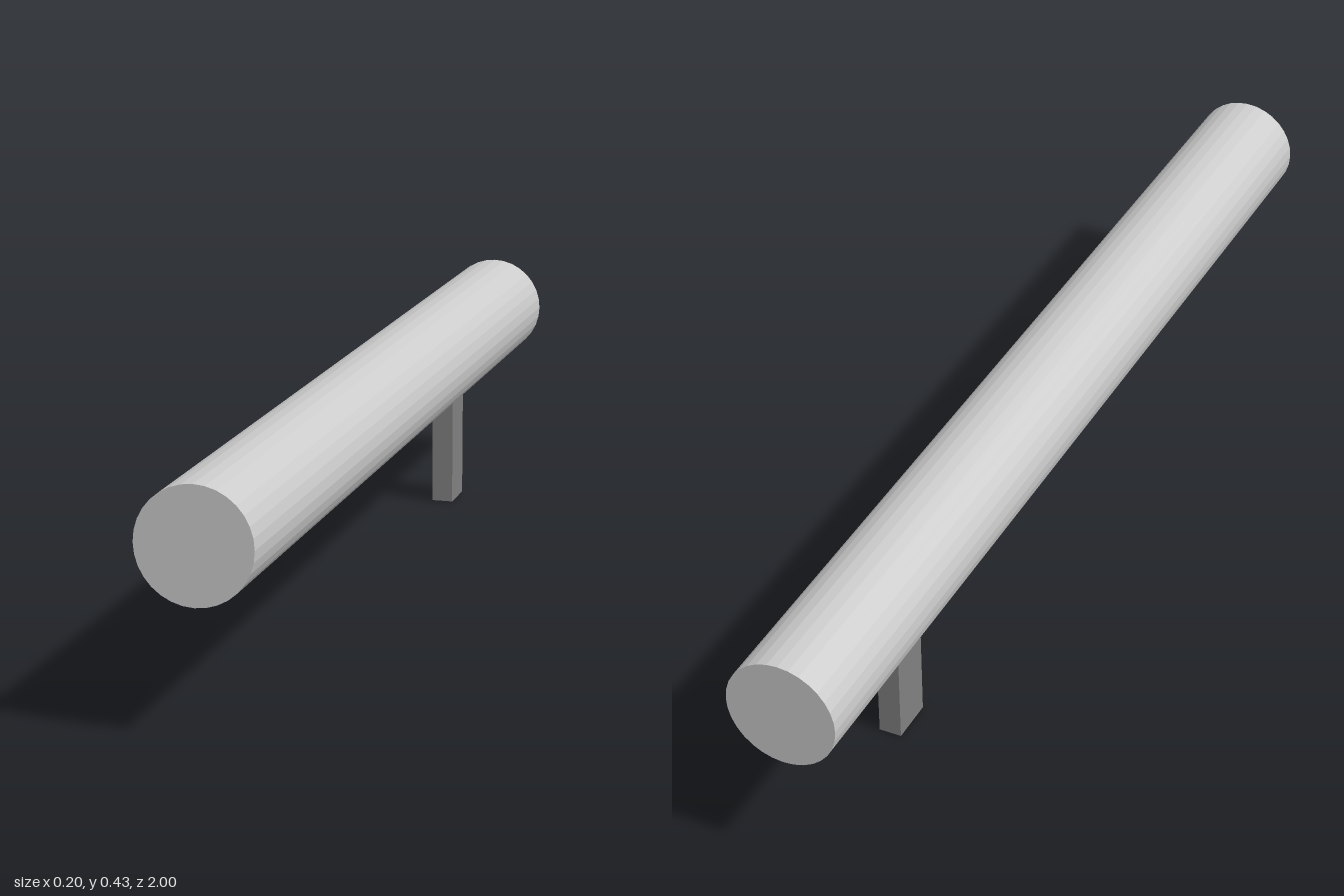
import * as THREE from 'three';

export function createModel() {
  const model = new THREE.Group();

  // Long horizontal cylinder running front to back
  const radius = 0.1;
  const tubeY = 0.325;
  const tube = new THREE.Mesh(
    new THREE.CylinderGeometry(radius, radius, 2, 32).rotateX(Math.PI / 2),
    new THREE.MeshStandardMaterial({ color: 0xcccccc, flatShading: true })
  );
  tube.name = 'tube';
  tube.position.y = tubeY;
  model.add(tube);

  // Darker rectangular grip, its top just sunk into the tube
  const gripHeight = 0.23;
  const grip = new THREE.Mesh(
    new THREE.BoxGeometry(0.042, gripHeight, 0.085),
    new THREE.MeshStandardMaterial({ color: 0x808080 })
  );
  grip.name = 'grip';
  grip.position.set(0, gripHeight / 2, -0.595);
  model.add(grip);

  return model;
}
